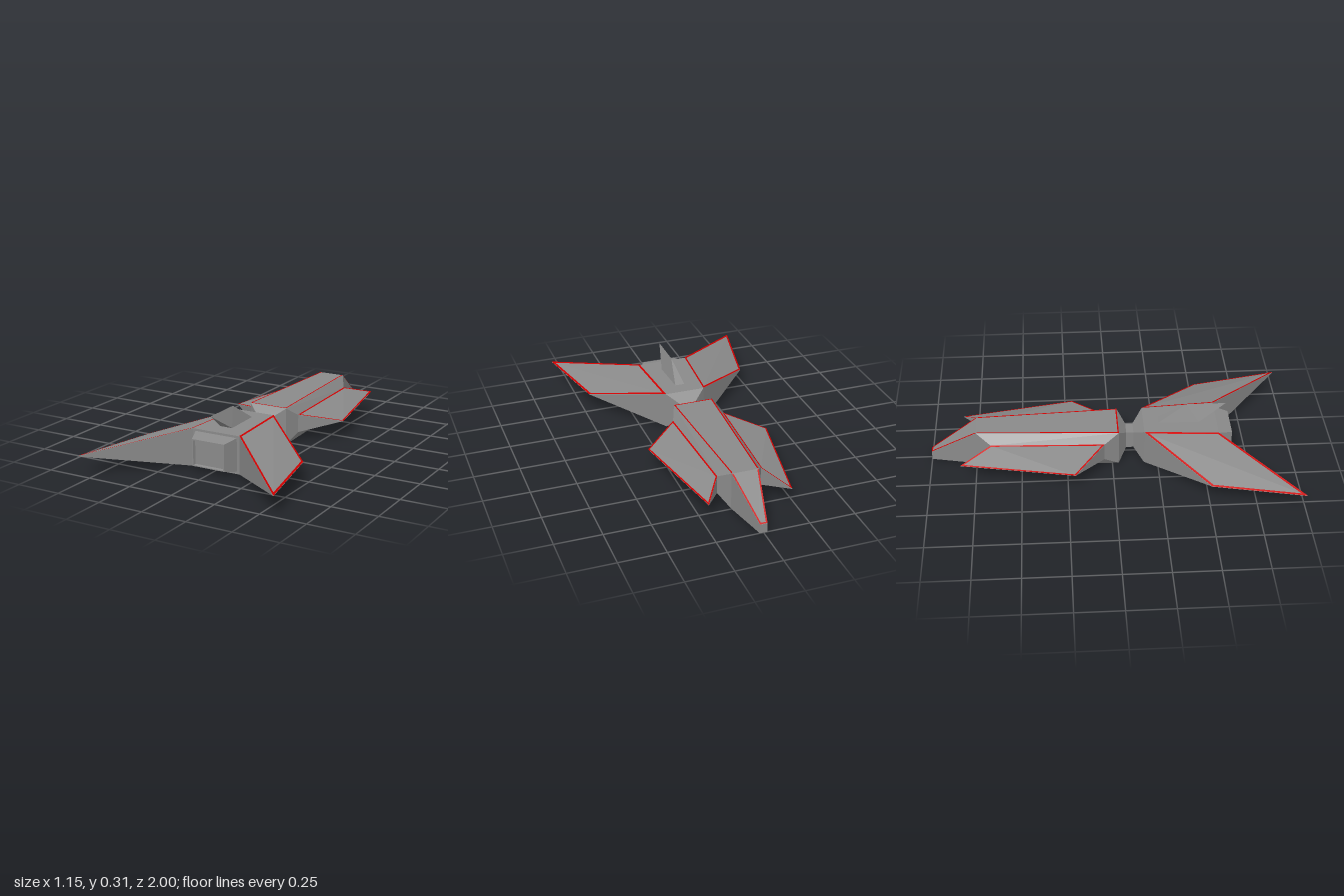
import * as THREE from 'three';
import { ConvexGeometry } from 'three/addons/geometries/ConvexGeometry.js';

const V = (x, y, z) => new THREE.Vector3(x, y, z);

// Flat-shaded geometry from a list of four-cornered faces
function quads(faces) {
  const points = [];
  for (const [a, b, c, d] of faces) points.push(a, b, c, a, c, d);
  const geometry = new THREE.BufferGeometry().setFromPoints(points);
  geometry.computeVertexNormals();
  return geometry;
}

// Capped skin through rectangular sections [halfWidth, bottom, top, z]
function loft(sections) {
  const rings = sections.map(([h, y0, y1, z]) => [V(-h, y0, z), V(h, y0, z), V(h, y1, z), V(-h, y1, z)]);
  const faces = [[...rings[0]].reverse(), rings[rings.length - 1]];
  for (let k = 0; k + 1 < rings.length; k++) {
    const a = rings[k], b = rings[k + 1];
    for (let i = 0; i < 4; i++) {
      const j = (i + 1) % 4;
      faces.push([a[i], a[j], b[j], b[i]]);
    }
  }
  return quads(faces);
}

// Thin trim strips just inside the edges of a panel, lifted off its surface
function border(panel, width, skip = -1) {
  const n = panel.length;
  const inner = panel.map((p, i) => {
    const u = panel[(i + 1) % n].clone().sub(p).normalize();
    const v = panel[(i + n - 1) % n].clone().sub(p).normalize();
    const s = width / u.clone().cross(v).length();
    return u.add(v).multiplyScalar(s).add(p);
  });
  const faces = [];
  for (let i = 0; i < n; i++) {
    const j = (i + 1) % n;
    if (i !== skip) faces.push([panel[i], panel[j], inner[j], inner[i]]);
  }
  return quads(faces).translate(0, 0.002, 0);
}

export function createModel() {
  const grey = new THREE.MeshStandardMaterial({ color: 0x8a8a8a });
  grey.name = 'hullGrey';
  const red = new THREE.MeshStandardMaterial({ color: 0xd00000, side: THREE.DoubleSide });
  red.name = 'trimRed';

  const model = new THREE.Group();
  model.name = 'spacecraft';
  const add = (name, geometry, material = grey) => {
    const mesh = new THREE.Mesh(geometry, material);
    mesh.name = name;
    model.add(mesh);
  };

  const top = 0.207, mid = 0.104;

  // Nose, forward hull, narrow neck and rear hull
  add('hull', loft([
    [0.02, 0, 0.05, -1], [0.073, 0, top, -0.745], [0.112, 0, top, 0.035],
    [0.042, 0.055, 0.155, 0.08], [0.042, 0.055, 0.155, 0.12],
    [0.112, 0, top, 0.175], [0.14, 0, top, 0.58],
  ]));

  // Engine block with a shallow recess
  add('engine', loft([
    [0.125, 0.013, 0.195, 0.578], [0.097, 0.032, 0.178, 0.66],
    [0.09, 0.037, 0.172, 0.66], [0.086, 0.04, 0.168, 0.645],
  ]));

  // Swept tail fin leaning aft
  add('tailFin', new ConvexGeometry([
    V(-0.027, top, 0.26), V(0.027, top, 0.26), V(-0.036, top, 0.48), V(0.036, top, 0.48),
    V(0, 0.305, 0.41), V(0, 0.305, 0.63),
  ]));

  // Trim on the forward deck and nose slope
  const deckFront = [V(0.073, top, -0.745), V(-0.073, top, -0.745)];
  add('deckTrim', border([...deckFront, V(-0.112, top, 0.035), V(0.112, top, 0.035)], 0.007, 0));
  add('noseTrim', border([...deckFront, V(-0.02, 0.05, -1), V(0.02, 0.05, -1)], 0.008, 0));
  for (const m of model.children) if (m.name.endsWith('Trim')) m.material = red;

  for (const s of [1, -1]) {
    const side = s > 0 ? 'left' : 'right';

    // Wing: full-height root tapering to a knife edge
    const wing = (y) => [V(s * 0.112, y, 0.175), V(s * 0.14, y, 0.58)];
    const wingEdge = [V(s * 0.575, mid, 1), V(s * 0.472, mid, 0.51)];
    add(side + 'Wing', new ConvexGeometry([...wing(top), ...wing(0), ...wingEdge]));
    add(side + 'WingTrim', border([...wing(top), ...wingEdge], 0.011), red);

    // Raised flank panel carrying the forward fin
    const flank = (y0, y1) => [y0, y1].flatMap((y) => [V(s * 0.145, y, -0.045), V(s * 0.12, y, -0.665)]);
    const base = [0, top].flatMap((y) => [V(s * 0.112, y, 0.035), V(s * 0.073, y, -0.745)]);
    add(side + 'Flank', new ConvexGeometry([...base, ...flank(0.055, 0.155)]));

    // Forward fin and its trim
    const finEdge = [V(s * 0.225, mid, -0.83), V(s * 0.342, mid, -0.21)];
    add(side + 'ForwardFin', new ConvexGeometry([...flank(0.055, 0.155), ...finEdge]));
    add(side + 'ForwardFinTrim', border([...flank(0.155, 0.155).slice(0, 2), ...finEdge], 0.008), red);
  }
  return model;
}
